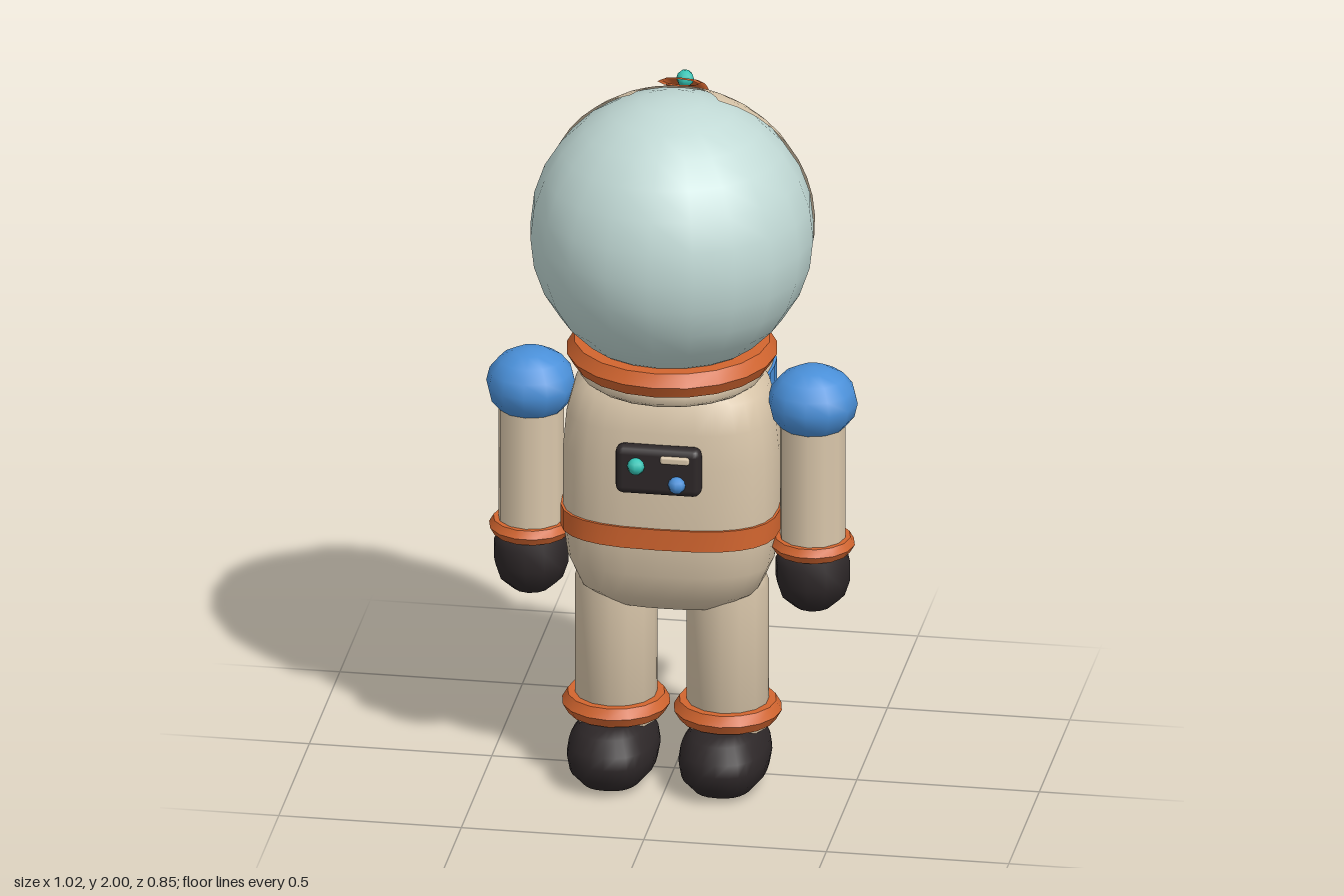
import * as THREE from 'three';
import { toCreasedNormals } from 'three/addons/utils/BufferGeometryUtils.js';
import { RoundedBoxGeometry } from 'three/addons/geometries/RoundedBoxGeometry.js';

const Z = 0.038; // depth of the body's centre line

function material(name, color) {
  const m = new THREE.MeshStandardMaterial({ color, side: THREE.DoubleSide });
  m.name = name;
  return m;
}

// Stack of superellipse sections, each [y, halfWidth, halfDepth], closed at both ends
function loft(levels, power, n = 28) {
  const pos = [], index = [];
  const e = 2 / power;
  for (const [y, hx, hz] of levels) {
    for (let i = 0; i < n; i++) {
      const a = (i / n) * Math.PI * 2, c = Math.cos(a), s = Math.sin(a);
      pos.push(Math.sign(c) * Math.abs(c) ** e * hx, y, Math.sign(s) * Math.abs(s) ** e * hz);
    }
  }
  const last = levels.length - 1, bottom = levels.length * n, top = bottom + 1;
  pos.push(0, levels[0][0], 0, 0, levels[last][0], 0);
  for (let i = 0; i < n; i++) {
    const k = (i + 1) % n;
    for (let j = 0; j < last; j++) {
      const p = j * n + i, q = j * n + k;
      index.push(p, p + n, q, q, p + n, q + n);
    }
    index.push(bottom, i, k, top, last * n + k, last * n + i);
  }
  const g = new THREE.BufferGeometry();
  g.setAttribute('position', new THREE.Float32BufferAttribute(pos, 3));
  g.setIndex(index);
  return toCreasedNormals(g, 0.85);
}

const lathe = (pts, n) => new THREE.LatheGeometry(pts.map(([x, y]) => new THREE.Vector2(x, y)), n);
const ring = (radius, tube, n) => toCreasedNormals(new THREE.TorusGeometry(radius, tube, 6, n).rotateX(Math.PI / 2), 0.5);

export function createModel() {
  const group = new THREE.Group();
  const cream = material('cream suit', 0xd9c6aa);
  const orange = material('orange trim', 0xd2652f);
  const blue = material('blue trim', 0x4a90d9);
  const dark = material('dark rubber', 0x2d2728);
  const teal = material('teal light', 0x35c4b5);
  const glass = material('pale visor', 0xc1d9d5);

  const add = (name, geometry, mat, x = 0, y = 0, z = 0) => {
    const mesh = new THREE.Mesh(geometry, mat);
    mesh.name = name;
    mesh.position.set(x, y, z);
    group.add(mesh);
    return mesh;
  };
  const bead = (name, mat, r, x, y, z) => add(name, new THREE.SphereGeometry(r, 8, 6), mat, x, y, z);

  // Helmet: visor globe, back shell and crest strip
  add('visor', new THREE.SphereGeometry(0.387, 20, 14), glass, 0, 1.6, Z);
  add('helmetShell', new THREE.SphereGeometry(0.392, 12, 16, Math.PI + 0.33, Math.PI - 0.66, 0.33, 2.4), cream, 0, 1.6, Z);
  const crest = new THREE.TorusGeometry(0.403, 0.01, 8, 20, 2.16);
  crest.rotateZ(-0.85).rotateY(Math.PI / 2).scale(5.7, 1, 1);
  add('helmetCrest', crest, orange, 0, 1.6, Z);
  bead('crestLight', teal, 0.024, 0, 1.955, -0.178);

  // Collar
  add('collarRing', ring(0.247, 0.04, 20), orange, 0, 1.255, Z);
  add('neckRing', lathe([[0, 1.175], [0.232, 1.178], [0.25, 1.192], [0.25, 1.222], [0.235, 1.24]], 20), cream, 0, 0, Z);

  // Torso and belt
  add('torso', loft([
    [0.52, 0.12, 0.07], [0.535, 0.18, 0.115], [0.58, 0.245, 0.16], [0.66, 0.28, 0.19], [0.76, 0.292, 0.2],
    [0.98, 0.292, 0.2], [1.08, 0.283, 0.194], [1.16, 0.262, 0.18], [1.2, 0.22, 0.15],
  ], 2.8), cream, 0, 0, Z);
  add('belt', loft([[0.745, 0.299, 0.207], [0.805, 0.299, 0.207]], 2.8), orange, 0, 0, Z);

  // Chest panel
  add('chestPanel', new RoundedBoxGeometry(0.235, 0.14, 0.05, 2, 0.022), dark, -0.002, 0.982, 0.243);
  bead('tealButton', teal, 0.024, -0.06, 1.0, 0.272);
  bead('blueButton', blue, 0.024, 0.052, 0.952, 0.272);
  add('panelBar', new RoundedBoxGeometry(0.08, 0.022, 0.02, 1, 0.007), cream, 0.046, 1.022, 0.268);

  // Limbs, mirrored
  for (const s of [1, -1]) {
    const side = s > 0 ? 'left' : 'right';
    const ax = s * 0.386, lx = s * 0.153;

    add(side + 'Shoulder', new THREE.SphereGeometry(0.123, 12, 8).scale(1, 0.82, 1), blue, ax, 1.125, Z);
    add(side + 'Arm', new THREE.CylinderGeometry(0.09, 0.09, 0.42, 12), cream, ax, 0.9, Z);
    add(side + 'Cuff', ring(0.091, 0.024, 14), orange, ax, 0.71, Z);
    add(side + 'Glove', lathe([
      [0, 0.52], [0.05, 0.527], [0.087, 0.56], [0.102, 0.605], [0.102, 0.66], [0.085, 0.69], [0, 0.71],
    ], 12), dark, ax, 0, Z);

    add(side + 'Leg', lathe([
      [0, 0.16], [0.112, 0.165], [0.112, 0.58], [0.095, 0.63], [0.055, 0.66], [0, 0.67],
    ], 14), cream, lx, 0, Z);
    add(side + 'AnkleRing', ring(0.117, 0.031, 16), orange, lx, 0.21, Z);
    add(side + 'Boot', loft([
      [0.003, 0.06, 0.1], [0.014, 0.085, 0.135], [0.05, 0.115, 0.17], [0.09, 0.122, 0.179],
      [0.125, 0.117, 0.172], [0.165, 0.09, 0.142], [0.18, 0.06, 0.1],
    ], 2.5), dark, lx, 0, 0.078);

    // Air hose from the pack to the collar
    const path = new THREE.CatmullRomCurve3([
      [0.172, 1.14, -0.31], [0.172, 1.23, -0.312], [0.17, 1.262, -0.25], [0.168, 1.287, -0.19], [0.166, 1.27, -0.13], [0.16, 1.25, -0.1],
    ].map(([x, y, z]) => new THREE.Vector3(s * x, y, z)));
    add(side + 'Hose', new THREE.TubeGeometry(path, 16, 0.024, 8), dark);
  }

  // Backpack
  const PZ = -0.282;
  add('packBody', loft([
    [0.61, 0.19, 0.085], [0.635, 0.212, 0.105], [0.665, 0.221, 0.114], [1.08, 0.221, 0.114],
    [1.125, 0.21, 0.104], [1.155, 0.185, 0.085], [1.17, 0.15, 0.06],
  ], 4), cream, 0, 0, PZ);
  add('packBand', loft([[1.015, 0.228, 0.12], [1.083, 0.228, 0.12]], 4), blue, 0, 0, PZ);
  add('packBase', new RoundedBoxGeometry(0.44, 0.066, 0.222, 2, 0.026), dark, 0, 0.593, PZ);
  bead('packLight', teal, 0.024, -0.117, 0.875, -0.4);

  // Filler neck with its cap, and the antenna
  add('fillerNeck', new THREE.CylinderGeometry(0.038, 0.04, 0.07, 10), cream, 0.12, 1.175, -0.288);
  add('fillerCap', new THREE.SphereGeometry(0.05, 10, 6).scale(1, 0.5, 1), dark, 0.12, 1.22, -0.292);
  add('antennaRod', new THREE.CylinderGeometry(0.008, 0.008, 0.42, 6), dark, -0.165, 1.36, -0.318);
  bead('antennaTip', teal, 0.023, -0.165, 1.57, -0.318);

  return group;
}
